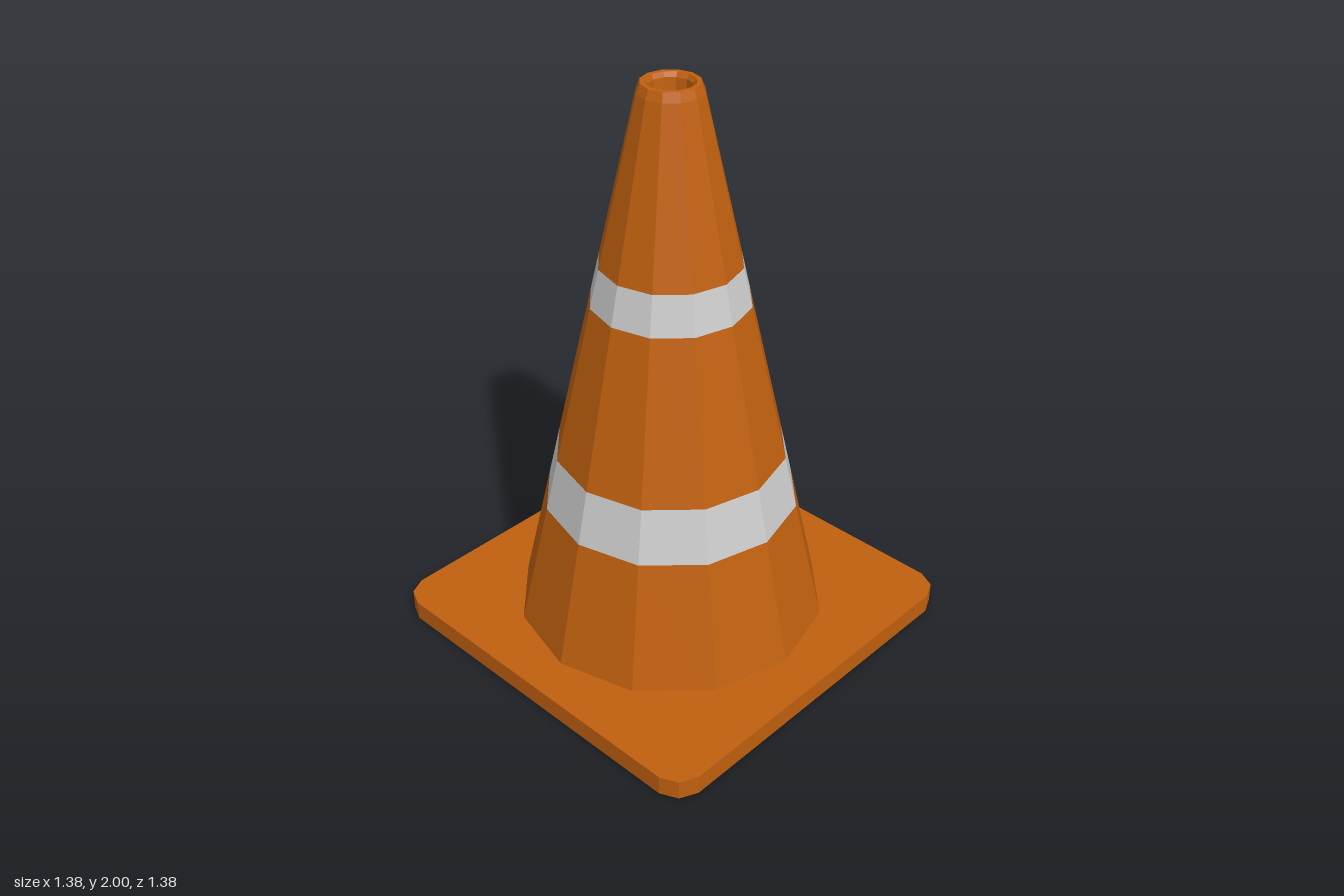
import * as THREE from 'three';

const SIDES = 12;
const orange = new THREE.MeshStandardMaterial({ color: 0xc0600f, flatShading: true });
const grey = new THREE.MeshStandardMaterial({ color: 0xcccccc, flatShading: true });

// Cone wall radius at a given height
const radiusAt = (y) => THREE.MathUtils.mapLinear(y, 0.07, 1.97, 0.54, 0.107);

// Twelve-sided ring from [radius, height] pairs, listed bottom to top
function ring(name, profile, material) {
  const points = profile.map(([r, y]) => new THREE.Vector2(r, y));
  const mesh = new THREE.Mesh(new THREE.LatheGeometry(points, SIDES), material);
  mesh.name = name;
  return mesh;
}

const wall = (name, y0, y1, material) =>
  ring(name, [[radiusAt(y0), y0], [radiusAt(y1), y1]], material);

export function createModel() {
  const model = new THREE.Group();
  model.name = 'trafficCone';

  // Square base plate with rounded-off corners
  const outline = [];
  const corner = [[0.688, 0.6], [0.66, 0.66], [0.6, 0.688]];
  for (let i = 0; i < 4; i++) {
    for (const [x, y] of corner) {
      outline.push(new THREE.Vector2(x, y).rotateAround(new THREE.Vector2(), i * Math.PI / 2));
    }
  }
  const plate = new THREE.ExtrudeGeometry(new THREE.Shape(outline), { depth: 0.07, bevelEnabled: false });
  plate.rotateX(-Math.PI / 2);
  const base = new THREE.Mesh(plate, orange);
  base.name = 'basePlate';
  model.add(base);

  // Cone body with two reflective bands
  const cone = new THREE.Group();
  cone.name = 'cone';
  cone.position.z = 0.009;
  cone.add(
    wall('lowerBody', 0.07, 0.52, orange),
    wall('lowerBand', 0.52, 0.71, grey),
    wall('middleBody', 0.71, 1.27, orange),
    wall('upperBand', 1.27, 1.405, grey),
    wall('upperBody', 1.405, 1.97, orange),
    // Bevelled lip and the recessed hole in the tip
    ring('tipRim', [[radiusAt(1.97), 1.97], [0.095, 2], [0.08, 2], [0.07, 1.985], [0.064, 1.9], [0, 1.9]], orange),
  );
  model.add(cone);

  return model;
}
